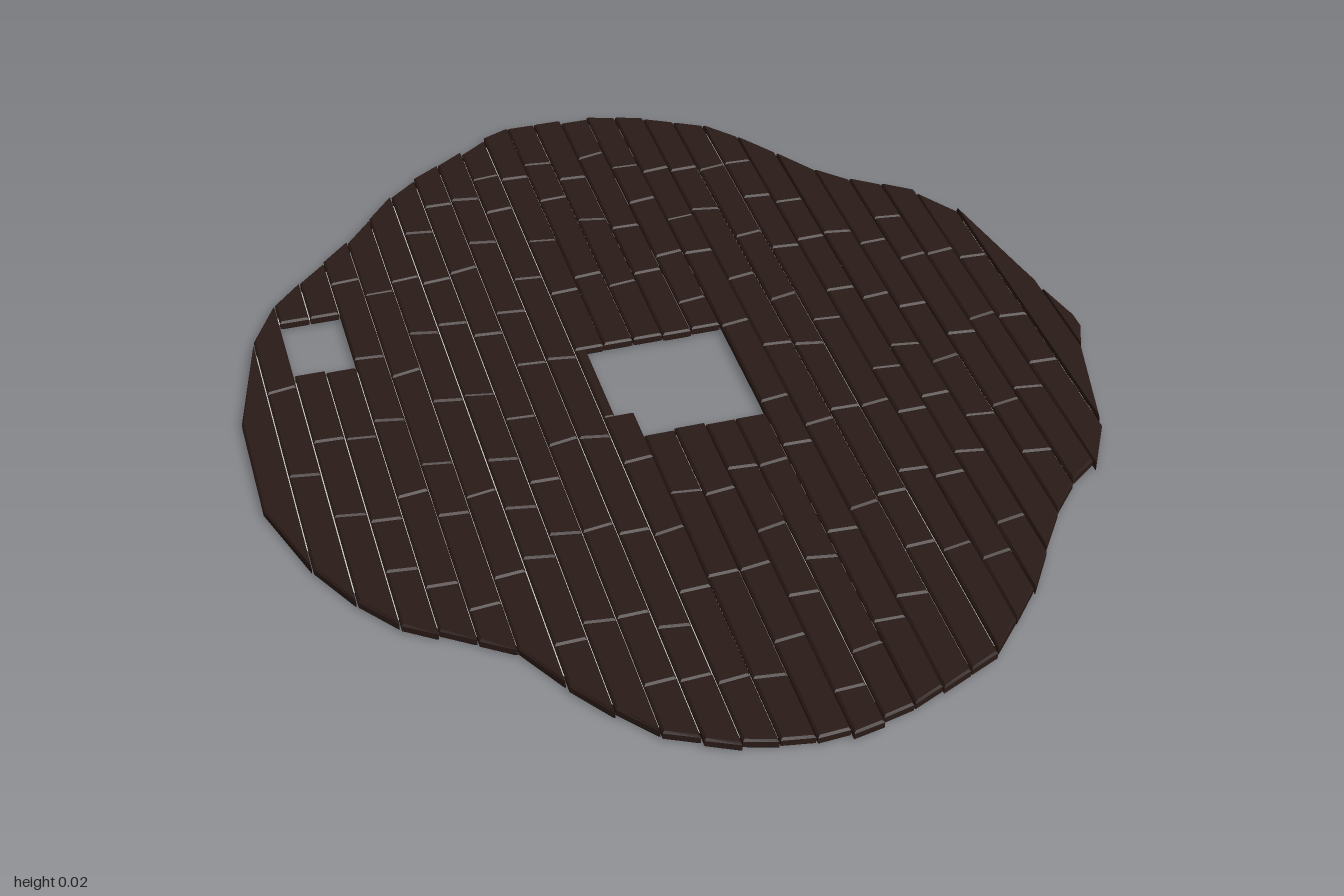
import * as THREE from 'three';

// Back and front edges of the floor as [x, z], left to right
const backEdge = [[-0.845, -0.08], [-0.8, -0.32], [-0.71, -0.49], [-0.54, -0.65], [-0.39, -0.83], [-0.26, -0.91], [-0.13, -1],
  [0.08, -1], [0.2, -0.96], [0.32, -0.9], [0.4, -0.81], [0.53, -0.62], [0.7, -0.5], [0.78, -0.37], [0.805, -0.21], [0.815, -0.08], [0.84, 0.01]];
const frontEdge = [[-0.845, 0.13], [-0.77, 0.36], [-0.68, 0.51], [-0.47, 0.65], [-0.39, 0.79], [-0.29, 0.91], [-0.14, 0.98],
  [-0.02, 1], [0.13, 0.97], [0.33, 0.88], [0.48, 0.71], [0.53, 0.61], [0.63, 0.5], [0.7, 0.45], [0.78, 0.29], [0.795, 0.16], [0.84, 0.05]];

// Openings [x0, x1, z0, z1]
const stairwell = [-0.105, 0.14, -0.16, 0.14];
const hatch = [-0.718, -0.595, -0.41, -0.225];
const notch = [-0.143, -0.105, -0.155, 0.07];

const PITCH = 0.0612, COLUMNS = 28, BASE = 0.005;

function edgeAt(edge, x) {
  for (let i = 1; i < edge.length; i++) {
    const [x0, z0] = edge[i - 1], [x1, z1] = edge[i];
    if (x <= x1) return z0 + (z1 - z0) * Math.max(0, (x - x0) / (x1 - x0));
  }
  return edge[edge.length - 1][1];
}

let seed = 17;
const rand = () => (seed = (seed * 16807) % 2147483647) / 2147483647;
const jitter = (s) => (rand() - 0.5) * s;

const toShape = (pts) => new THREE.Shape(pts.map(([x, z]) => new THREE.Vector2(x, -z)));

export function createModel() {
  const floor = new THREE.Group();
  floor.name = 'plankFloor';
  const wood = new THREE.MeshStandardMaterial({ color: 0x2a1b17, flatShading: true });
  const grey = new THREE.MeshStandardMaterial({ color: 0xcccccc, side: THREE.DoubleSide });

  // One chamfered board between x = a and b; z ends are given per side
  function addPlank(a, b, [za0, zb0], [za1, zb1]) {
    const shape = toShape([[a, za0], [a, za1], [b, zb1], [b, zb0]]);
    const bevel = 0.004;
    const geo = new THREE.ExtrudeGeometry(shape, {
      depth: 0.012, bevelEnabled: true, bevelSize: bevel, bevelOffset: -bevel, bevelThickness: bevel, bevelSegments: 1,
    });
    geo.rotateX(-Math.PI / 2);
    const plank = new THREE.Mesh(geo, wood);
    plank.name = 'plank';
    plank.position.y = BASE + bevel + jitter(0.003);
    floor.add(plank);
  }

  // Cuts a run of boards into random lengths with slightly crooked butt joints
  function addRun(a, b, start, end) {
    let from = start;
    const limit = Math.min(end[0], end[1]);
    let z = Math.max(start[0], start[1]) + 0.08 + rand() * 0.17;
    while (z < limit - 0.08) {
      const skew = jitter(0.012);
      addPlank(a, b, from, [z + skew, z - skew]);
      from = [z + skew + 0.001, z - skew + 0.001];
      z += 0.13 + rand() * 0.17;
    }
    addPlank(a, b, from, end);
  }

  // Rows of boards running front to back
  for (let i = 0; i < COLUMNS; i++) {
    const x0 = -0.105 + (i - 12) * PITCH;
    const a = x0 + 0.0008 + rand() * 0.001;
    const b = Math.min(x0 + PITCH - 0.0008 - rand() * 0.001, 0.84);
    if (b - a < 0.01) continue;
    const mid = (a + b) / 2;
    const rough = jitter(0.015);
    const start = [edgeAt(backEdge, a) + rough, edgeAt(backEdge, b) + rough];
    const end = [edgeAt(frontEdge, a) + rough, edgeAt(frontEdge, b) + rough];
    const hole = [stairwell, hatch].find((h) => mid > h[0] && mid < h[1]) || (i === 11 ? notch : null);
    if (!hole) {
      addRun(a, b, start, end);
      continue;
    }
    const h0 = hole[2] + jitter(0.008), h1 = hole[3] + jitter(0.008);
    addRun(a, b, start, [h0, h0]);
    addRun(a, b, [h1, h1], end);
    if (hole === notch) addPlank(a, notch[0], [h0, h0], [h1, h1]);
  }

  // Thin sheet hidden inside the boards, glimpsed through the joints
  const outline = [...backEdge, ...[...frontEdge].reverse()].map(([x, z]) => [x * 0.98, z * 0.98]);
  const sheetShape = toShape(outline);
  const m = 0.008;
  const [sx0, sx1, sz0, sz1] = stairwell, [hx0, hx1, hz0, hz1] = hatch;
  const nx = notch[0] - m;
  sheetShape.holes.push(
    toShape([[nx, sz0 - m], [sx1 + m, sz0 - m], [sx1 + m, sz1 + m], [sx0 - m, sz1 + m], [sx0 - m, notch[3] + m], [nx, notch[3] + m]]),
    toShape([[hx0 - m, hz0 - m], [hx1 + m, hz0 - m], [hx1 + m, hz1 + m], [hx0 - m, hz1 + m]]),
  );
  const sheet = new THREE.Mesh(new THREE.ShapeGeometry(sheetShape).rotateX(-Math.PI / 2), grey);
  sheet.name = 'innerSheet';
  sheet.position.y = BASE + 0.01;
  floor.add(sheet);

  return floor;
}
